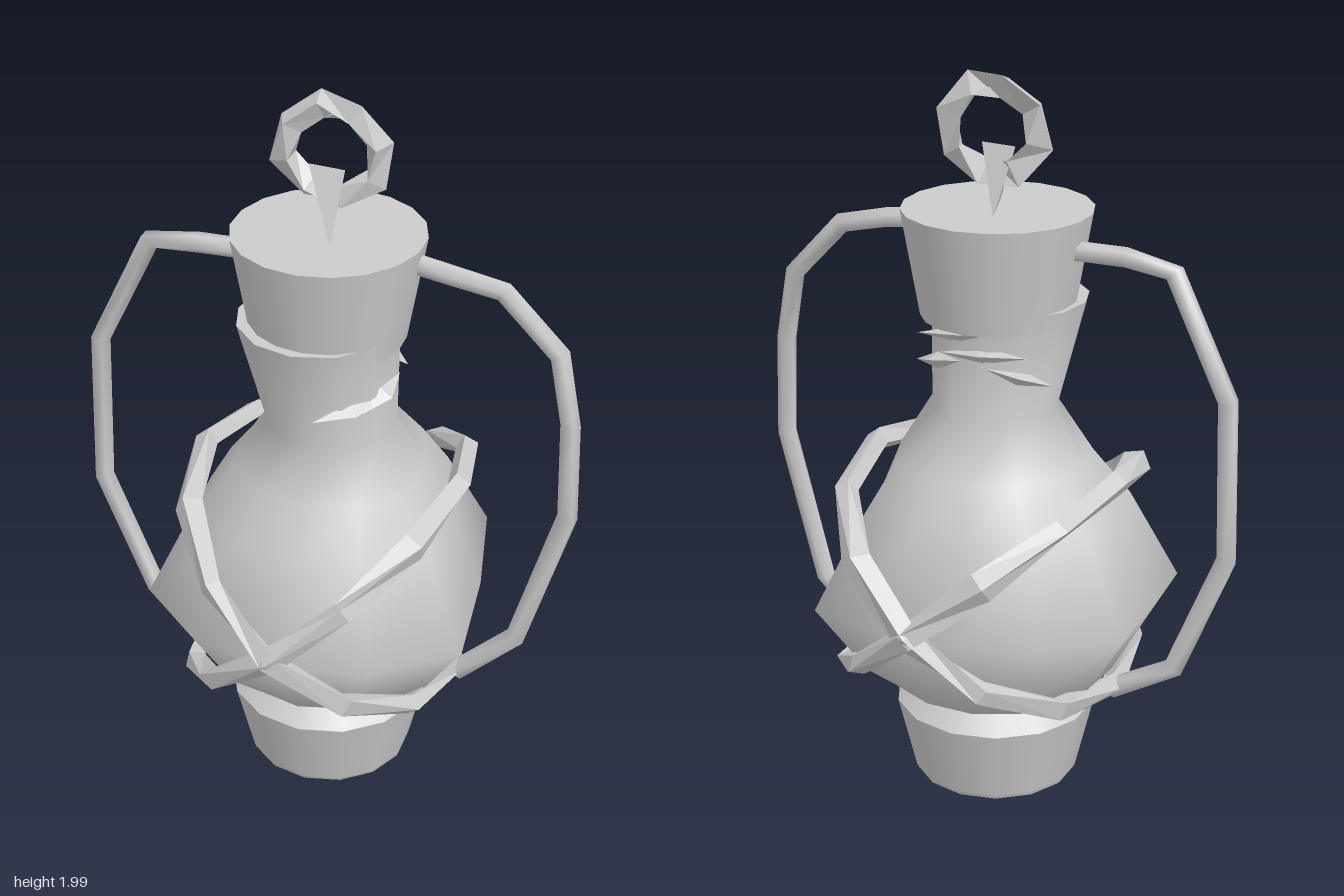
import * as THREE from 'three';
import { ConvexGeometry } from 'three/addons/geometries/ConvexGeometry.js';

const V = (x, y, z) => new THREE.Vector3(x, y, z);

// Skin a list of equal-length cross-sections, each running from +x to +z when lofted upwards
function loft(rings, closed = false, caps = false) {
  const n = rings[0].length, pos = [], index = [];
  rings.forEach(r => r.forEach(p => pos.push(p.x, p.y, p.z)));
  const spans = closed ? rings.length : rings.length - 1;
  for (let i = 0; i < spans; i++) {
    for (let j = 0; j < n; j++) {
      const k = (j + 1) % n, up = (i + 1) % rings.length;
      const a = i * n + j, b = i * n + k, c = up * n + j, d = up * n + k;
      index.push(a, c, b, b, c, d);
    }
  }
  if (caps) {
    [rings[0], rings[rings.length - 1]].forEach((r, end) => {
      const s = pos.length / 3;
      r.forEach(p => pos.push(p.x, p.y, p.z));
      for (let j = 1; j < n - 1; j++) index.push(s, end ? s + j + 1 : s + j, end ? s + j : s + j + 1);
    });
  }
  const g = new THREE.BufferGeometry();
  g.setAttribute('position', new THREE.Float32BufferAttribute(pos, 3));
  g.setIndex(index);
  g.computeVertexNormals();
  return g;
}

// Faceted band along a path; section(i) gives [size along normal, size across, twist]
function band(points, normal, sides, section, closed) {
  const n = points.length;
  const rings = points.map((p, i) => {
    const prev = points[closed ? (i + n - 1) % n : Math.max(i - 1, 0)];
    const next = points[closed ? (i + 1) % n : Math.min(i + 1, n - 1)];
    const t = next.clone().sub(prev).normalize();
    const e1 = normal.clone().addScaledVector(t, -normal.dot(t)).normalize();
    const e2 = e1.clone().cross(t);
    const [w, h, twist] = section(i);
    return Array.from({ length: sides }, (_, j) => {
      const a = j / sides * Math.PI * 2;
      const u = Math.cos(a) * w, v = Math.sin(a) * h, c = Math.cos(twist), s = Math.sin(twist);
      return p.clone().addScaledVector(e1, u * c - v * s).addScaledVector(e2, u * s + v * c);
    });
  });
  return loft(rings, closed, !closed);
}

export function createModel() {
  const model = new THREE.Group();
  const smooth = new THREE.MeshStandardMaterial({ color: 0xcccccc, side: THREE.DoubleSide });
  const faceted = new THREE.MeshStandardMaterial({ color: 0xcccccc, side: THREE.DoubleSide, flatShading: true });
  const add = (name, geometry, material = smooth) => {
    const mesh = new THREE.Mesh(geometry, material);
    mesh.name = name;
    model.add(mesh);
    return mesh;
  };

  // Hollow foot, open underneath
  add('footWall', new THREE.CylinderGeometry(0.28, 0.23, 0.21, 14, 1, true)).position.set(0, 0.115, 0.01);
  add('footShoulder', new THREE.CylinderGeometry(0.2, 0.28, 0.08, 14, 1, true)).position.set(0, 0.26, 0.01);
  add('footRim', new THREE.CylinderGeometry(0.23, 0.226, 0.01, 14, 1, true)).position.set(0, 0.005, 0.01);

  // Irregular belly narrowing into a round neck: [angle, belly radius]
  const outline = [[30, 0.52], [60, 0.49], [90, 0.47], [120, 0.49], [150, 0.51], [176, 0.46],
    [203, 0.51], [230, 0.46], [257, 0.43], [284, 0.44], [312, 0.52], [351, 0.42]];
  // [height, radius, share of irregularity, x shift, z shift]
  const levels = [[0.3, 0.29, 0.2, 0, 0], [0.36, 0.355, 0.6, 0, 0], [0.57, 0.48, 1, 0, 0],
    [0.82, 0.355, 0.8, 0, 0], [0.95, 0.27, 0.4, 0.01, 0], [1.09, 0.175, 0, 0.01, 0.02], [1.39, 0.215, 0, -0.02, 0.045]];
  add('flaskBody', loft(levels.map(([y, r, k, x, z]) => outline.map(([deg, belly]) => {
    const a = deg * Math.PI / 180, rr = r * (1 + k * (belly / 0.48 - 1));
    return V(x + Math.cos(a) * rr, y, z + Math.sin(a) * rr);
  })), false, true));

  // Tapered stopper
  add('stopper', new THREE.CylinderGeometry(0.255, 0.205, 0.29, 18)).position.set(0, 1.485, 0.02);

  // Wedge holding the ring
  add('ringStem', new ConvexGeometry([V(-0.06, 1.8, 0), V(0.04, 1.8, 0.01), V(-0.03, 1.625, -0.07), V(0.03, 1.625, 0.1)]), faceted);

  // Crumpled pull ring
  const ringPath = Array.from({ length: 8 }, (_, i) => {
    const a = i / 8 * Math.PI * 2 + 0.25;
    return V(Math.cos(a) * 0.128, 1.84 + Math.sin(a) * 0.125, Math.sin(i * 2.3) * 0.012);
  });
  add('pullRing', band(ringPath, V(0, 0, 1), 3,
    i => [0.028, 0.042, Math.sin(i * 1.9) * 0.6], true), faceted);

  // Side handles from the stopper down to the straps
  const handles = {
    leftHandle: [[0.2, 1.575], [0.32, 1.56], [0.46, 1.53], [0.61, 1.37], [0.65, 1.17], [0.66, 0.89], [0.54, 0.47], [0.37, 0.31]],
    rightHandle: [[-0.2, 1.54], [-0.36, 1.54], [-0.5, 1.52], [-0.66, 1.2], [-0.67, 0.76], [-0.53, 0.41], [-0.35, 0.31]],
  };
  for (const [name, path] of Object.entries(handles)) {
    const pts = path.map(([x, y], i) => V(x, y, 0.01 + Math.sin(i * 1.7) * 0.008));
    add(name, band(pts, V(0, 0, 1), 5, i => [0.03, 0.028, i * 0.15], false));
  }

  // Two tilted straps crossing at front and back
  for (const side of [1, -1]) {
    const pts = Array.from({ length: 12 }, (_, i) => {
      const a = i / 12 * Math.PI * 2;
      return V(side * Math.cos(a) * 0.36, 0.625 + Math.cos(a) * 0.3, Math.sin(a) * 0.52);
    });
    const tilt = V(-side * 0.3, 0.36, 0).normalize();
    add(side > 0 ? 'strapRisingLeft' : 'strapRisingRight', band(pts, tilt, 4,
      i => [0.036 + 0.008 * Math.sin(i * 2.1), 0.032, Math.sin(i * 1.7 + side) * 0.6], true), faceted);
  }

  // Loose scraps of cord on the neck: [x, y, z, turn about y, length]
  const scraps = [[0.11, 1.21, 0.17, 0.75, 0.11], [0.17, 1.23, 0.1, 1.2, 0.08], [0.1, 1.24, -0.13, -0.5, 0.1],
    [-0.04, 1.28, -0.15, 0.1, 0.12], [-0.12, 1.22, -0.11, 0.6, 0.1], [0.02, 1.33, -0.15, 0, 0.13]];
  scraps.forEach(([x, y, z, turn, size], i) => {
    const m = add('neckCord' + (i + 1), new THREE.OctahedronGeometry(1), faceted);
    m.scale.set(size, 0.022, 0.035);
    m.position.set(x, y, z);
    m.rotation.set(0.2, turn, Math.sin(i * 2) * 0.2);
  });
  return model;
}
